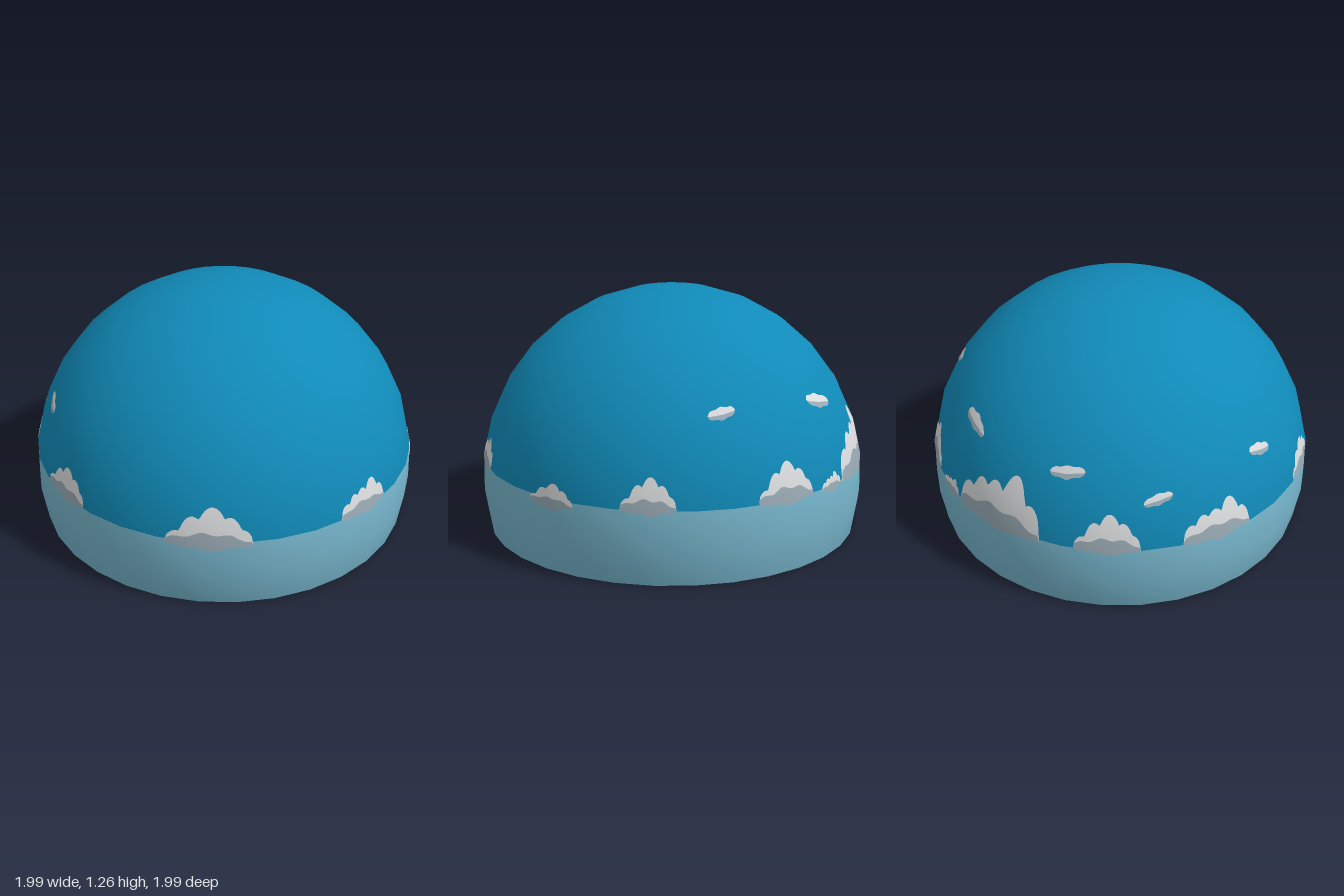
import * as THREE from 'three';

const CY = 0.26, SEG = 32, STEP = (Math.PI * 2) / SEG, DEG = Math.PI / 180;
const SPLIT = Math.acos(0.12), END = 105 * DEG;
const mat = (name, color, side = THREE.DoubleSide) => {
  const m = new THREE.MeshStandardMaterial({ color, side });
  m.name = name;
  return m;
};

// Polar angles of the dome's rings: seven sky bands, then two horizon bands
const rings = [];
for (let i = 0; i <= 7; i++) rings.push((SPLIT * i) / 7);
for (let i = 1; i <= 2; i++) rings.push(SPLIT + ((END - SPLIT) * i) / 2);

// Point on the faceted dome at an azimuth (0 = front, 90 = +x) and height
function domePoint(az, y) {
  let i = 0;
  while (i < rings.length - 2 && CY + Math.cos(rings[i + 1]) > y) i++;
  const c0 = Math.cos(rings[i]), c1 = Math.cos(rings[i + 1]);
  const t = (c0 - (y - CY)) / (c0 - c1);
  const r = THREE.MathUtils.lerp(Math.sin(rings[i]), Math.sin(rings[i + 1]), t);
  const k = Math.floor(az / STEP), f = az / STEP - k;
  const a0 = k * STEP, a1 = a0 + STEP;
  const p = new THREE.Vector3(
    r * THREE.MathUtils.lerp(Math.sin(a0), Math.sin(a1), f), y - CY,
    r * THREE.MathUtils.lerp(Math.cos(a0), Math.cos(a1), f));
  return p.multiplyScalar(1.003);
}

// Thin patch hugging the dome between two height functions of t = 0..1
function domePatch(az0, az1, low, high, cols = 44, rows = 5) {
  const pos = [], nor = [], idx = [];
  for (let i = 0; i <= cols; i++) {
    const t = i / cols, az = (az0 + (az1 - az0) * t) * DEG;
    const lo = low(t), hi = Math.max(lo, high(t));
    for (let j = 0; j <= rows; j++) {
      const p = domePoint(az, lo + ((hi - lo) * j) / rows);
      pos.push(p.x, p.y + CY, p.z);
      nor.push(...p.normalize().toArray());
      if (i < cols && j < rows) {
        const a = i * (rows + 1) + j, b = a + rows + 1;
        idx.push(a, b, b + 1, a, b + 1, a + 1);
      }
    }
  }
  const g = new THREE.BufferGeometry();
  g.setAttribute('position', new THREE.Float32BufferAttribute(pos, 3));
  g.setAttribute('normal', new THREE.Float32BufferAttribute(nor, 3));
  g.setIndex(idx);
  return g;
}

// Cloud outline lobes: centre, half width, height
const LOBES = [
  [[0.14, 0.14, 0.35], [0.32, 0.17, 0.75], [0.54, 0.2, 1], [0.74, 0.16, 0.75], [0.88, 0.12, 0.42]],
  [[0.13, 0.13, 0.5], [0.3, 0.14, 0.72], [0.48, 0.16, 0.8], [0.7, 0.17, 1], [0.88, 0.12, 0.6]],
];
const lobeTop = (lobes, t) => Math.max(0, ...lobes.map(([c, w, h]) =>
  h * Math.sqrt(Math.max(0, 1 - ((t - c) / w) ** 2))));

// Clouds on the horizon: azimuth from, to, bottom, top, outline
const BIG = [
  [-20.5, 4.5, 0.36, 0.555, 0], [31.5, 50, 0.38, 0.52, 1], [74, 90, 0.35, 0.45, 0],
  [103.5, 119, 0.38, 0.535, 0], [142, 161, 0.38, 0.56, 0], [165, 175, 0.37, 0.44, 1],
  [176, 207, 0.37, 0.66, 1], [217, 236, 0.38, 0.57, 0], [248, 270, 0.38, 0.56, 1],
  [293, 312, 0.38, 0.53, 0],
];
// Small drifting clouds: azimuth from, to, bottom, top, tilt
const SMALL = [
  [129, 138.5, 0.77, 0.825, 0.01], [168, 180.5, 0.735, 0.805, -0.02], [208, 219.5, 0.705, 0.77, 0.01],
  [237, 246, 0.6, 0.655, 0.015], [275, 284, 0.655, 0.72, -0.015],
];

// Rippled flat ring; amp(r, a) gives the height offset
function rippledRing(inner, outer, y, amp) {
  const g = new THREE.RingGeometry(inner, outer, 72, 8);
  g.rotateX(-Math.PI / 2);
  const p = g.attributes.position;
  for (let i = 0; i < p.count; i++) {
    const x = p.getX(i), z = p.getZ(i);
    p.setY(i, y + amp(Math.hypot(x, z), Math.atan2(x, z)));
  }
  g.computeVertexNormals();
  return g;
}

export function createModel() {
  const model = new THREE.Group();
  const sky = mat('sky blue', 0x108ab8), haze = mat('horizon haze', 0x77b6cc);
  const white = mat('cloud white', 0xdcdedf), shade = mat('cloud grey', 0x9aabb5);
  const shallows = mat('shallow water', 0x6d9cb0), grass = mat('grass green', 0x396d2d);
  const lawn = mat('dark lawn', 0x35602a), path = mat('olive path', 0x627a18);
  const add = (name, geo, m, parent = model) => {
    const mesh = new THREE.Mesh(geo, m);
    mesh.name = name;
    parent.add(mesh);
    return mesh;
  };

  // Dome shell, open at the bottom
  add('skyDome', new THREE.SphereGeometry(1, SEG, 7, 0, Math.PI * 2, 0, SPLIT), sky).position.y = CY;
  add('horizonBand', new THREE.SphereGeometry(1, SEG, 2, 0, Math.PI * 2, SPLIT, END - SPLIT), haze).position.y = CY;

  // Clouds: lit crown above a grey base
  const clouds = new THREE.Group();
  clouds.name = 'clouds';
  model.add(clouds);
  for (const [a0, a1, y0, y1, kind] of BIG) {
    const h = y1 - y0;
    const top = t => y0 + h * lobeTop(LOBES[kind], t);
    const mid = t => Math.min(top(t), y0 + h * (0.1 + 0.22 * Math.sin(Math.PI * t) + 0.04 * Math.sin(t * 19)));
    const bottom = t => y0 - 0.022 * Math.sin(Math.PI * t) * (1 + 0.3 * Math.sin(t * 14));
    add('cloudCrown', domePatch(a0, a1, mid, top), white, clouds);
    add('cloudBase', domePatch(a0, a1, bottom, mid), shade, clouds);
  }
  for (const [a0, a1, y0, y1, tilt] of SMALL) {
    const c = (y0 + y1) / 2, h = (y1 - y0) / 2;
    const line = t => c + tilt * (2 * t - 1);
    const bulge = t => h * Math.sqrt(Math.max(0, 1 - (2 * t - 1) ** 2)) * (0.9 + 0.1 * Math.sin(t * 16));
    const mid = t => line(t) - bulge(t) * 0.2;
    add('smallCloudCrown', domePatch(a0, a1, mid, t => line(t) + bulge(t), 24), white, clouds);
    add('smallCloudBase', domePatch(a0, a1, t => line(t) - bulge(t), mid, 24), shade, clouds);
  }

  // Water disc, shallow ring and island on the dome's equator
  const sea = add('sea', new THREE.CircleGeometry(0.95, 48), sky);
  sea.rotation.x = -Math.PI / 2;
  sea.position.y = 0.275;
  add('shallows', rippledRing(0.55, 0.79, 0.255, (r, a) =>
    0.012 * Math.sin(a * 13) * Math.sin((Math.PI * (r - 0.55)) / 0.24)), shallows);
  add('islandHills', rippledRing(0.38, 0.61, 0.247, (r, a) =>
    0.016 * Math.sin(a * 16 + 2 * Math.sin(a * 3)) * Math.sin((Math.PI * (r - 0.38)) / 0.23)), grass);
  add('islandMeadow', rippledRing(0, 0.39, 0.246, () => 0), grass);

  // Square yard with broken olive paths and a round centre
  const yard = new THREE.Group();
  yard.name = 'yard';
  yard.position.y = 0.241;
  model.add(yard);
  add('yardLawn', new THREE.BoxGeometry(0.6, 0.006, 0.6), lawn, yard);
  for (let i = 0; i < 4; i++) {
    const side = new THREE.Group();
    side.name = 'yardSide';
    side.rotation.y = (i * Math.PI) / 2;
    yard.add(side);
    for (const [x, z, w, d] of [[-0.12, 0.26, 0.2, 0.06], [0.16, 0.25, 0.14, 0.07], [0.05, 0.17, 0.1, 0.02]]) {
      add('yardPath', new THREE.BoxGeometry(w, 0.006, d), path, side).position.set(x, -0.003, z);
    }
  }
  add('yardCentre', new THREE.CylinderGeometry(0.04, 0.04, 0.008, 16), grass, yard).position.y = -0.006;
  return model;
}
